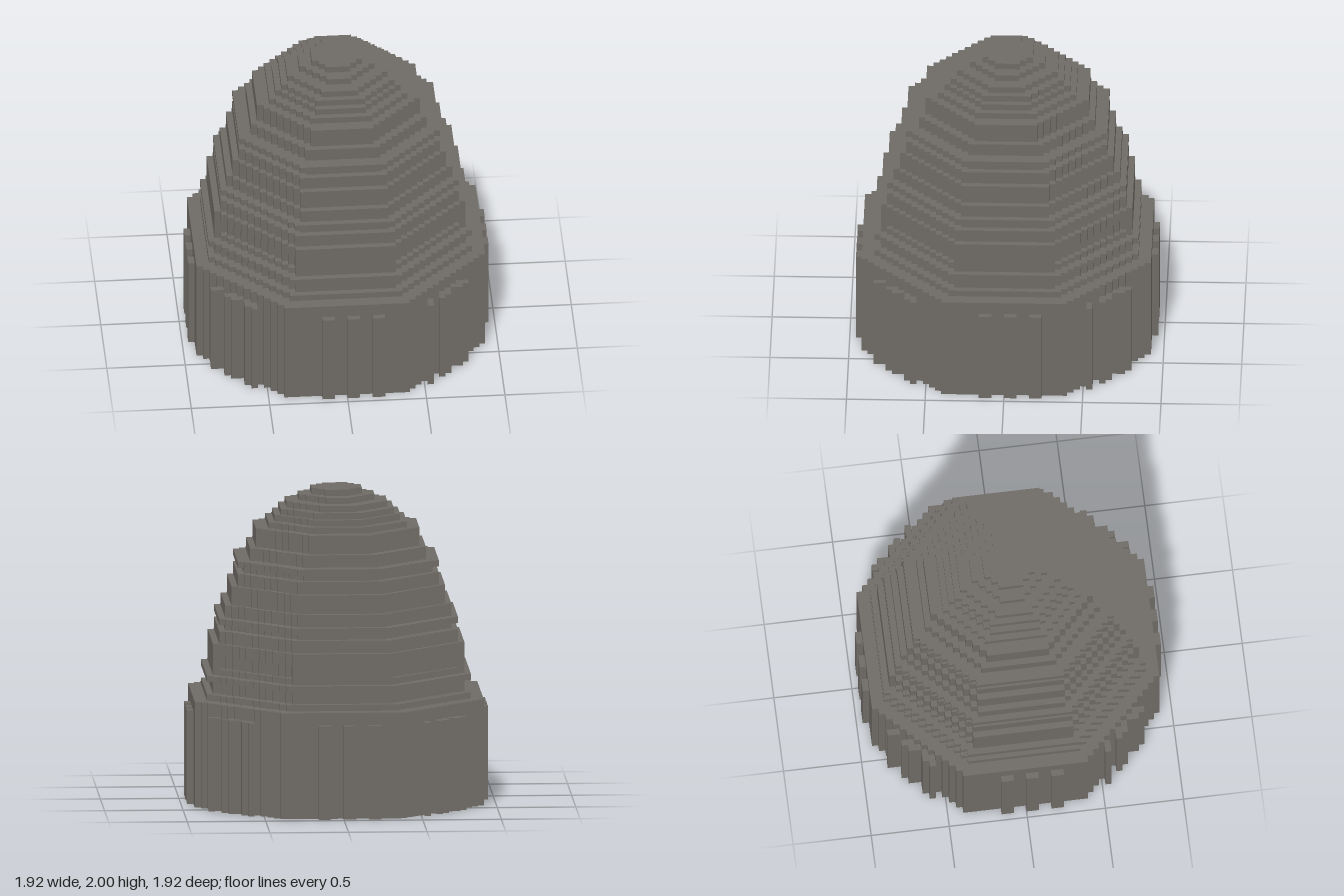
import * as THREE from 'three';

const CELL = 0.04;

// Stepped octagon outline, in cells: half-width R, diagonal faces cut in by `recess` cells
function octagon(R, recess) {
  const limit = Math.floor((R - 0.35) * Math.SQRT2);
  const flat = limit - R + 1;
  const quarter = [];
  for (let k = 0; k < R; k++) {
    let w = Math.min(R, limit - k);
    if (k >= flat && k < R - 1) w = Math.min(R - recess, w - recess);
    quarter.push([w, k], [w, k + 1]);
  }
  const points = [];
  for (let q = 0; q < 4; q++) {
    for (const [x, y] of quarter) {
      const [px, py] = [[x, y], [-y, x], [-x, -y], [y, -x]][q];
      const p = new THREE.Vector2(px * CELL, py * CELL);
      if (!points.length || !points[points.length - 1].equals(p)) points.push(p);
    }
  }
  return new THREE.Shape(points);
}

export function createModel() {
  const model = new THREE.Group();
  model.name = 'steppedDome';
  const stone = new THREE.MeshStandardMaterial({ color: 0x6e6a65 });
  stone.name = 'greyStone';

  // Tiers from the ground up: name, top height, half-width and diagonal recess in cells
  const tiers = [
    ['base', 17, 23], ['lowerStep', 18, 21], ['lowerWall', 20, 20], ['lowerRing', 21, 21],
    ['wall', 22, 20], ['recessedWall', 24, 20, 1], ['wall', 26, 20], ['wall', 28, 19],
    ['wall', 29, 18], ['middleRing', 30, 19], ['wall', 32, 18], ['wall', 35, 17],
    ['wall', 37, 16], ['wall', 38, 15], ['upperRing', 39, 16], ['wall', 41, 14],
    ['wall', 44, 13], ['roofStep', 45, 11], ['roofStep', 46, 10], ['roofStep', 47, 9],
    ['roofStep', 48, 8], ['roofStep', 49, 6], ['roofCap', 50, 4],
  ];
  let bottom = 0;
  for (const [name, top, R, recess = 0] of tiers) {
    const geometry = new THREE.ExtrudeGeometry(octagon(R, recess), {
      depth: (top - bottom) * CELL, bevelEnabled: false,
    });
    geometry.rotateX(-Math.PI / 2);
    const tier = new THREE.Mesh(geometry, stone);
    tier.name = name;
    tier.position.y = bottom * CELL;
    model.add(tier);
    bottom = top;
  }

  // Upright ribs around the base: three on each straight and each diagonal face
  const ribHeight = 0.6;
  const straightRib = new THREE.BoxGeometry(2 * CELL, ribHeight, CELL);
  const diagonalRib = new THREE.BoxGeometry(CELL, ribHeight, CELL);
  const diagonalCells = [
    [0.78, 0.58], [0.74, 0.58], [0.74, 0.62], [0.70, 0.62],
    [0.66, 0.66], [0.66, 0.70], [0.62, 0.70], [0.62, 0.74],
    [0.54, 0.78], [0.54, 0.82],
  ];
  for (let side = 0; side < 4; side++) {
    const ribs = new THREE.Group();
    ribs.name = 'baseRibs';
    const addRib = (geometry, x, z) => {
      const rib = new THREE.Mesh(geometry, stone);
      rib.name = 'rib';
      rib.position.set(x, ribHeight / 2, z);
      ribs.add(rib);
    };
    for (const x of [-0.12, 0.04, 0.2]) addRib(straightRib, x, 0.94);
    for (const [x, z] of diagonalCells) addRib(diagonalRib, x, z);
    ribs.rotation.y = side * Math.PI / 2;
    model.add(ribs);
  }
  return model;
}
